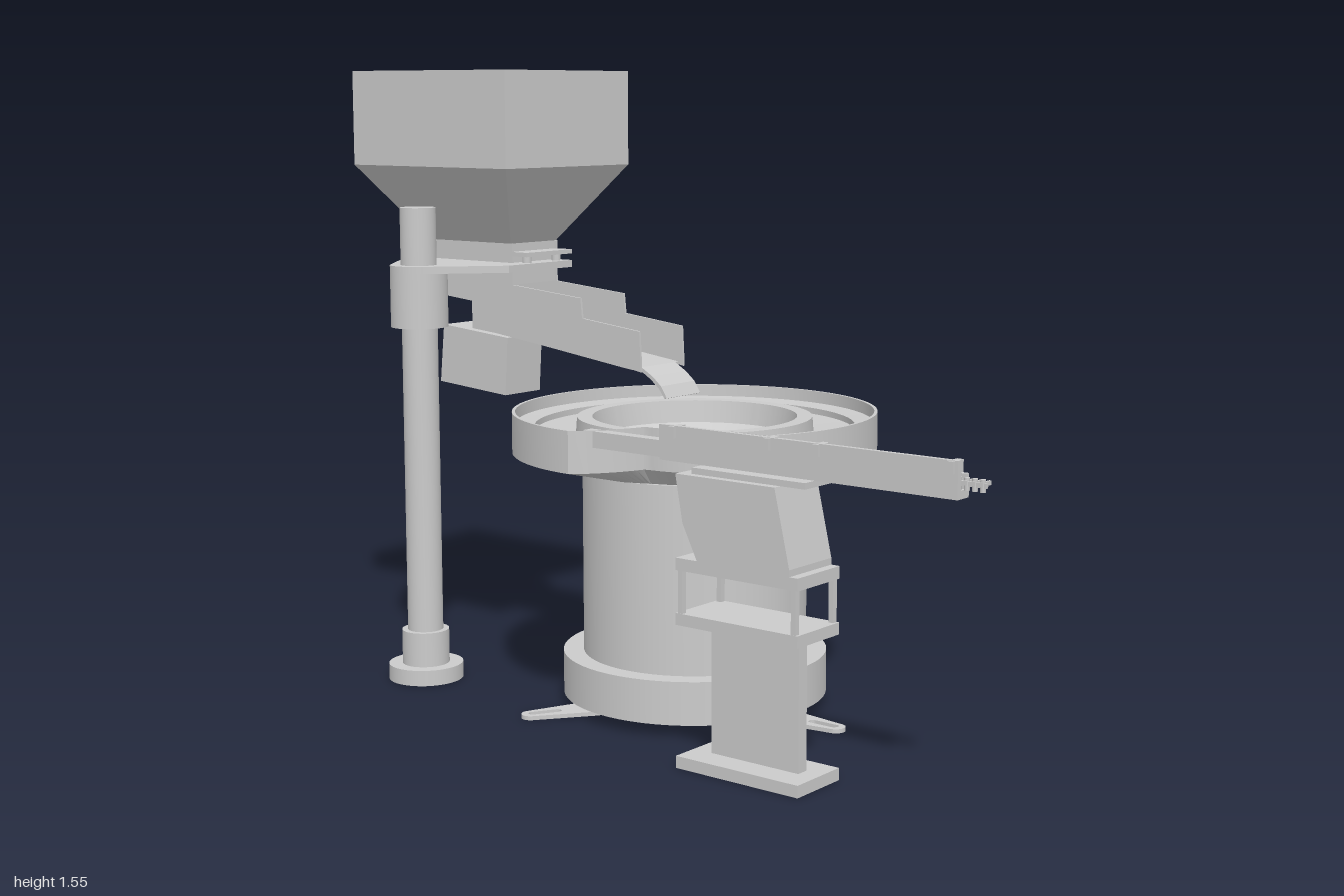
import * as THREE from 'three';
import { toCreasedNormals } from 'three/addons/utils/BufferGeometryUtils.js';

const grey = new THREE.MeshStandardMaterial({ color: 0xcccccc });
const sheet = new THREE.MeshStandardMaterial({ color: 0xcccccc, side: THREE.DoubleSide });

export function createModel() {
  const model = new THREE.Group();

  const add = (name, geo, parent = model, mat = grey) => {
    const mesh = new THREE.Mesh(geo, mat);
    mesh.name = name;
    parent.add(mesh);
    return mesh;
  };
  const group = (name) => {
    const g = new THREE.Group();
    g.name = name;
    model.add(g);
    return g;
  };
  // Box given by its limits on each axis
  const box = (name, [x0, x1], [y0, y1], [z0, z1], parent) =>
    add(name, new THREE.BoxGeometry(x1 - x0, y1 - y0, z1 - z0)
      .translate((x0 + x1) / 2, (y0 + y1) / 2, (z0 + z1) / 2), parent);
  // Upright cylinder between two heights
  const cyl = (name, r, y0, y1, x, z, parent, n = 48) =>
    add(name, new THREE.CylinderGeometry(r, r, y1 - y0, n).translate(x, (y0 + y1) / 2, z), parent);
  const shape = (pts) => new THREE.Shape(pts.map(([a, b]) => new THREE.Vector2(a, b)));
  // Side profile in (z, y), extruded across x
  const profile = (name, pts, x, width, parent) =>
    add(name, new THREE.ExtrudeGeometry(shape(pts), { depth: width, bevelEnabled: false })
      .rotateY(-Math.PI / 2).translate(x + width / 2, 0, 0), parent);
  // Plan outline in (x, z), extruded down from its top height
  const plan = (s, top, thick) =>
    new THREE.ExtrudeGeometry(s, { depth: thick, bevelEnabled: false, curveSegments: 16 })
      .rotateX(Math.PI / 2).translate(0, top, 0);

  // ---- Bowl feeder ----
  const bowlZ = -0.055;
  const feeder = group('bowlFeeder');
  feeder.position.z = bowlZ;
  cyl('driveBase', 0.325, 0.03, 0.135, 0, 0, feeder, 64);
  cyl('driveDrum', 0.275, 0.135, 0.59, 0, 0, feeder, 64);

  // Outer limit of the bowl by angle: round, with a discharge notch at the front right
  const notchRadius = (deg) => {
    const a = THREE.MathUtils.degToRad(deg);
    if (deg < 119.6 || deg > 181.3) return 0.445;
    if (deg < 128.7) return Math.min(0.445, -0.22 / Math.cos(a));
    if (deg < 163.7) return THREE.MathUtils.mapLinear(deg, 128.7, 163.7, 0.352, 0.302);
    return THREE.MathUtils.mapLinear(deg, 163.7, 181.3, 0.302, 0.445);
  };
  const bowlProfile = [
    [0.26, 0.585], [0.445, 0.63], [0.445, 0.73], [0.437, 0.73], [0.437, 0.7], [0.39, 0.695],
    [0.39, 0.68], [0.29, 0.675], [0.287, 0.715], [0.25, 0.715], [0.24, 0.66], [0.19, 0.635], [0, 0.65],
  ].map(([r, y]) => new THREE.Vector2(r, y));
  const bowl = new THREE.LatheGeometry(bowlProfile, 180);
  const p = bowl.attributes.position;
  for (let i = 0; i < p.count; i++) {
    const x = p.getX(i), z = p.getZ(i), r = Math.hypot(x, z);
    const deg = (THREE.MathUtils.radToDeg(Math.atan2(z, x)) + 360) % 360;
    const k = r > 0 ? Math.min(1, notchRadius(deg) / r) : 1;
    p.setX(i, x * k);
    p.setZ(i, z * k);
  }
  add('bowl', toCreasedNormals(bowl, 0.4), feeder);

  // Three slotted fixing tabs with pegs
  for (let i = 0; i < 3; i++) {
    const foot = new THREE.Group();
    foot.name = 'foot';
    foot.rotation.y = (i * Math.PI * 2) / 3;
    const s = new THREE.Shape();
    s.absarc(0, 0.27, 0.045, Math.PI, Math.PI * 2, false);
    s.absarc(0, 0.425, 0.024, 0, Math.PI, false);
    const slot = new THREE.Path();
    slot.absarc(0, 0.36, 0.011, Math.PI, Math.PI * 2, false);
    slot.absarc(0, 0.42, 0.011, 0, Math.PI, false);
    s.holes.push(slot);
    add('footTab', plan(s, 0.01, 0.01), foot);
    cyl('footPeg', 0.015, 0.01, 0.032, 0, 0.27, foot, 20);
    feeder.add(foot);
  }

  // ---- Hopper: open sheet-metal funnel lofted through rectangles ----
  const hopZ = -0.73;
  const hopper = group('hopper');
  const rings = [[0.23, 0.27, 1.55], [0.23, 0.27, 1.31], [0.085, 0.145, 1.115], [0.085, 0.145, 1.01]];
  const corner = ([hx, hz, y], c) =>
    [[-hx, hz], [hx, hz], [hx, -hz], [-hx, -hz]].map(([x, z]) => [x, y, z + hopZ])[c % 4];
  const tris = [];
  for (let r = 0; r < rings.length - 1; r++) {
    for (let c = 0; c < 4; c++) {
      const a = corner(rings[r], c), b = corner(rings[r], c + 1);
      const d = corner(rings[r + 1], c), e = corner(rings[r + 1], c + 1);
      tris.push(...a, ...d, ...b, ...b, ...d, ...e);
    }
  }
  const funnel = new THREE.BufferGeometry();
  funnel.setAttribute('position', new THREE.Float32BufferAttribute(tris, 3));
  funnel.computeVertexNormals();
  add('hopperFunnel', funnel, hopper, sheet);

  // Neck flanges and bolts, front and back
  for (const [z0, z1] of [[-0.585, -0.53], [-0.91, -0.865]]) {
    box('neckFlange', [-0.085, 0.085], [1.083, 1.094], [z0, z1], hopper);
    for (const x of [-0.055, 0.055]) cyl('neckBolt', 0.012, 1.05, 1.09, x, (z0 + z1) / 2, hopper, 12);
  }

  // ---- Vibrating chute: open trough ----
  const chute = group('chute');
  const side = [[-0.155, 0.82], [-0.16, 0.92], [-0.345, 0.94], [-0.35, 0.99], [-0.58, 1.01],
    [-0.58, 1.115], [-0.87, 1.115], [-0.87, 0.975], [-0.66, 0.955], [-0.66, 0.885], [-0.21, 0.83]];
  for (const x of [-0.082, 0.082]) profile('chuteSide', side, x, 0.006, chute);
  profile('chuteFloor', [[-0.17, 0.822], [-0.17, 0.83], [-0.65, 0.89], [-0.65, 0.963], [-0.87, 0.983],
    [-0.87, 0.975], [-0.66, 0.955], [-0.66, 0.885], [-0.21, 0.826]], 0, 0.16, chute);
  box('chuteBack', [-0.082, 0.082], [0.975, 1.05], [-0.87, -0.864], chute);
  profile('chuteLip', [[-0.17, 0.83], [-0.135, 0.81], [-0.108, 0.788], [-0.09, 0.76],
    [-0.097, 0.758], [-0.115, 0.782], [-0.14, 0.802], [-0.17, 0.82]], 0, 0.13, chute);
  profile('chuteVibrator', [[-0.62, 0.87], [-0.63, 0.72], [-0.865, 0.738], [-0.85, 0.89]], 0, 0.13, chute);
  box('vibratorMount', [-0.04, 0.04], [0.86, 0.97], [-0.77, -0.68], chute);

  // ---- Support post and arm ----
  const stand = group('hopperStand');
  const postX = -0.268;
  cyl('postBase', 0.095, 0, 0.04, postX, hopZ, stand);
  cyl('postSocket', 0.06, 0.04, 0.128, postX, hopZ, stand);
  cyl('post', 0.045, 0.128, 1.21, postX, hopZ, stand);
  cyl('clampCollar', 0.072, 0.91, 1.05, postX, hopZ, stand);
  const arm = new THREE.Shape();
  arm.absarc(postX, hopZ, 0.072, Math.PI * 0.7, Math.PI * 1.3, false);
  for (const [x, z] of [[-0.15, -0.91], [0.085, -0.91], [0.085, -0.53], [-0.15, -0.53]]) arm.lineTo(x, z);
  arm.holes.push(new THREE.Path(
    [[-0.08, -0.86], [-0.08, -0.59], [0.08, -0.59], [0.08, -0.86]].map(([x, z]) => new THREE.Vector2(x, z))));
  add('arm', plan(arm, 1.066, 0.018), stand);

  // ---- Linear feeder stand ----
  const linear = group('linearFeeder');
  const lx = [-0.45, -0.295], lz = [0.25, 0.582];
  box('standFoot', lx, [0, 0.028], [0.25, 0.585], linear);
  box('standPillar', [-0.385, -0.355], [0.028, 0.33], [0.3, 0.54], linear);
  box('lowerPlate', lx, [0.328, 0.355], lz, linear);
  box('upperPlate', lx, [0.452, 0.48], lz, linear);
  for (const x of [-0.442, -0.303])
    for (const z of [0.262, 0.57])
      box('spacerPost', [x - 0.007, x + 0.007], [0.35, 0.455], [z - 0.006, z + 0.006], linear);
  profile('vibratorBlock', [[0.56, 0.48], [0.56, 0.495], [0.52, 0.668], [0.25, 0.668], [0.27, 0.56],
    [0.31, 0.48]], -0.3725, 0.155, linear);
  box('railBed', [-0.43, -0.31], [0.668, 0.682], [0.28, 0.585], linear);

  // ---- Rail ----
  const rail = group('rail');
  box('railInfeed', [-0.405, -0.375], [0.69, 0.728], [-0.06, 0.17], rail);
  box('railFloor', [-0.408, -0.365], [0.685, 0.703], [0.17, 0.945], rail);
  box('railWallOuter', [-0.408, -0.396], [0.7, 0.765], [0.17, 0.945], rail);
  box('railWallInner', [-0.377, -0.365], [0.7, 0.735], [0.17, 0.945], rail);
  for (const z of [0.21, 0.47, 0.6, 0.93])
    box('railBracket', [-0.416, -0.375], [0.738, 0.764], [z - 0.008, z + 0.008], rail);

  // Row of small headed parts travelling along the rail
  for (let i = 0; i < 16; i++) {
    const z = 0.71 + i * 0.0187;
    cyl('railPart', 0.006, 0.703, 0.73, -0.386, z, rail, 8);
    box('railPartArm', [-0.396, -0.358], [0.715, 0.724], [z - 0.003, z + 0.003], rail);
  }
  box('railTongue', [-0.39, -0.382], [0.712, 0.722], [0.4, 1], rail);

  return model;
}
